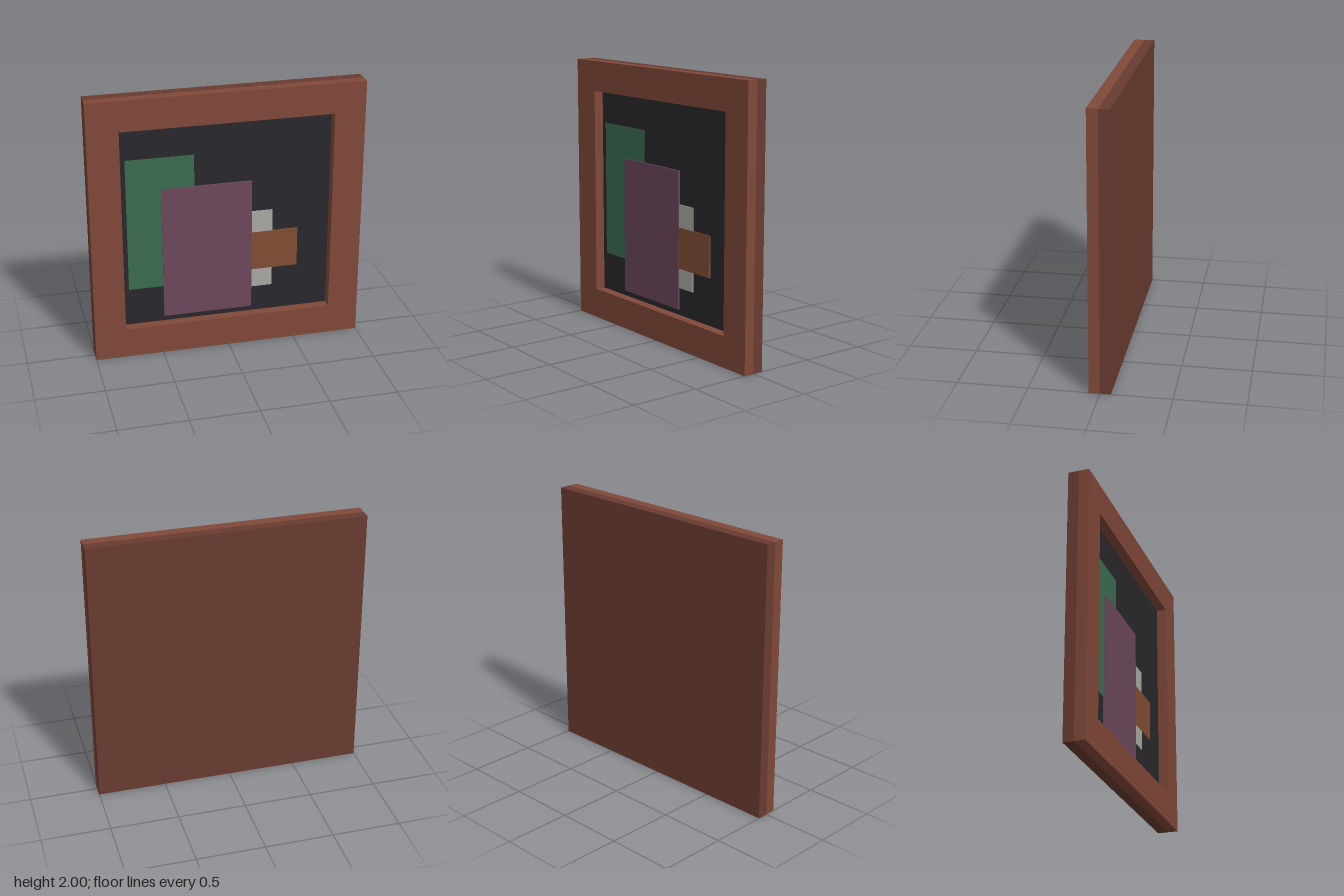
import * as THREE from 'three';

const mat = (color) => new THREE.MeshStandardMaterial({ color });

export function createModel() {
  const model = new THREE.Group();
  const add = (name, geometry, material) => {
    const mesh = new THREE.Mesh(geometry, material);
    mesh.name = name;
    model.add(mesh);
    return mesh;
  };
  // Box given by its bounds, in x, y and z
  const slab = (name, x0, x1, y0, y1, z0, z1, color) => {
    const mesh = add(name, new THREE.BoxGeometry(x1 - x0, y1 - y0, z1 - z0), mat(color));
    mesh.position.set((x0 + x1) / 2, (y0 + y1) / 2, (z0 + z1) / 2);
  };
  const rectangle = (Type, half) => new Type([
    new THREE.Vector2(-half, 1 - half), new THREE.Vector2(half, 1 - half),
    new THREE.Vector2(half, 1 + half), new THREE.Vector2(-half, 1 + half),
  ]);

  // Square frame with a recessed opening
  const outline = rectangle(THREE.Shape, 1);
  outline.holes.push(rectangle(THREE.Path, 0.773));
  add('frame', new THREE.ExtrudeGeometry(outline, { depth: 0.077, bevelEnabled: false }), mat(0x804838));

  // Darker backing board behind the frame
  slab('backing', -1, 1, 0, 2, -0.077, 0, 0x693b30);

  // Dark picture ground set into the opening
  slab('canvas', -0.773, 0.773, 0.227, 1.773, -0.01, 0.003, 0x29282c);

  // Overlapping painted blocks, each a little further forward
  const blocks = [
    ['greenBlock', -0.73, -0.235, 0.515, 1.53, 0.007, 0x3b6b50],
    ['paleBlock', 0.03, 0.345, 0.43, 1.045, 0.01, 0xa9a8a3],
    ['orangeBlock', 0.05, 0.535, 0.575, 0.877, 0.013, 0x814d33],
    ['purpleBlock', -0.475, 0.187, 0.27, 1.29, 0.017, 0x6b475b],
  ];
  for (const [name, x0, x1, y0, y1, front, color] of blocks) {
    slab(name, x0, x1, y0, y1, 0, front, color);
  }
  return model;
}
